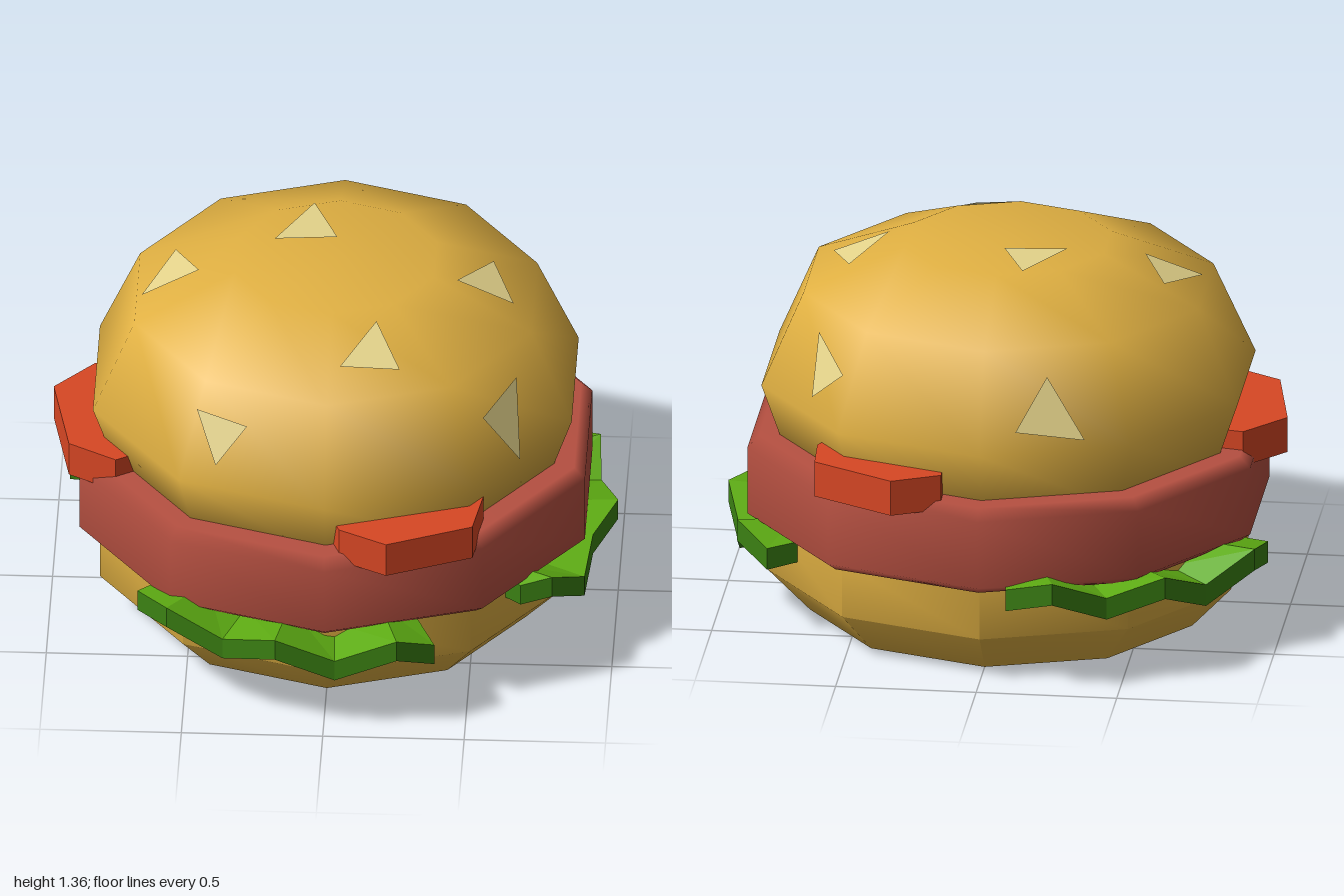
import * as THREE from 'three';
import { toCreasedNormals } from 'three/addons/utils/BufferGeometryUtils.js';

const CZ = -0.03; // z of the stack's axis
const SIDES = 10;

const makeMaterial = (name, color, extra = {}) => {
  const m = new THREE.MeshStandardMaterial({ color, ...extra });
  m.name = name;
  return m;
};

export function createModel() {
  const bun = makeMaterial('bun', 0xe0b042);
  const meat = makeMaterial('meat', 0xb65041);
  const tomato = makeMaterial('tomato', 0xd84724);
  const leafTop = makeMaterial('leafTop', 0x5dab13);
  const leafEdge = makeMaterial('leafEdge', 0x3b8113);
  const seed = makeMaterial('seed', 0xe4d38a, { side: THREE.DoubleSide });

  const model = new THREE.Group();
  model.name = 'burger';
  const add = (name, geometry, material, z = 0) => {
    const mesh = new THREE.Mesh(geometry, material);
    mesh.name = name;
    mesh.position.z = z;
    model.add(mesh);
  };
  const lathe = (profile) =>
    new THREE.LatheGeometry(profile.map(([r, y]) => new THREE.Vector2(r, y)), SIDES);

  // Buns and patty: ten-sided turned shapes
  const dome = [[0.89, 0.86], [0.738, 1.2], [0.37, 1.35], [0, 1.35]];
  add('bottomBun', toCreasedNormals(
    lathe([[0, 0], [0.715, 0], [0.865, 0.16], [0.865, 0.36], [0, 0.36]]), 0.8), bun, CZ);
  add('patty', lathe([[0, 0.35], [0.90, 0.35], [0.94, 0.38], [0.94, 0.63], [0.90, 0.67], [0, 0.67]]), meat, CZ);
  add('topBun', lathe([[0, 0.6], [0.80, 0.6], ...dome]), bun, CZ);

  // Tomato slices poking out between patty and top bun: [x, z] corners
  const slices = [
    [[0.14, -0.87], [0.31, -0.95], [0.60, -0.79], [0.61, -0.62], [0.5, -0.4], [0.15, -0.55]],
    [[0.55, 0.60], [0.52, 0.80], [0.22, 0.93], [0.05, 0.84], [-0.02, 0.66], [0.4, 0.45]],
    [[-0.76, 0.38], [-0.93, 0.28], [-1.0, -0.09], [-0.86, -0.25], [-0.6, -0.2], [-0.55, 0.25]],
  ];
  slices.forEach((corners, i) => {
    const shape = new THREE.Shape(corners.map(([x, z]) => new THREE.Vector2(x, -z)));
    const g = new THREE.ExtrudeGeometry(shape, { depth: 0.13, bevelEnabled: false });
    g.rotateX(-Math.PI / 2);
    g.translate(0, i === 2 ? 0.61 : 0.635, 0);
    add('tomatoSlice' + (i + 1), g, tomato);
  });

  // Wavy lettuce strips: [x, z, top y] along the outer edge
  const strips = [
    [[-0.67, 0.67, 0.38], [-0.56, 0.84, 0.42], [-0.36, 0.88, 0.32], [-0.17, 0.99, 0.39],
      [0.04, 0.96, 0.29], [0.26, 0.98, 0.39], [0.39, 0.90, 0.33]],
    [[0.68, 0.56, 0.37], [0.79, 0.55, 0.40], [0.90, 0.43, 0.33], [0.92, 0.20, 0.36],
      [1.0, 0.0, 0.38], [0.93, -0.25, 0.30], [0.92, -0.41, 0.39], [0.80, -0.53, 0.33]],
    [[-0.10, -0.97, 0.38], [-0.27, -1.0, 0.42], [-0.45, -0.88, 0.33], [-0.65, -0.81, 0.39],
      [-0.77, -0.60, 0.29], [-0.93, -0.49, 0.39], [-0.95, -0.25, 0.33]],
  ];
  strips.forEach((points, i) => add('lettuce' + (i + 1), leafStrip(points), [leafTop, leafEdge]));

  // Sesame seeds: thin triangles resting on the dome, given as x, z pairs
  const seeds = [
    [-0.09, -0.37, -0.22, -0.13, 0.0, -0.15],
    [-0.57, -0.19, -0.68, 0.04, -0.48, 0.0],
    [0.55, -0.15, 0.43, 0.06, 0.63, 0.07],
    [0.16, 0.35, 0.04, 0.55, 0.25, 0.53],
    [-0.12, -0.85, -0.36, -0.79, -0.22, -0.74],
    [0.51, -0.64, 0.62, -0.43, 0.63, -0.56],
    [-0.46, 0.60, -0.39, 0.70, -0.28, 0.67],
    [0.65, 0.34, 0.54, 0.53, 0.67, 0.50],
  ];
  seeds.forEach((s, i) => {
    const corners = [0, 2, 4].map((k) => new THREE.Vector3(s[k], domeHeight(dome, s[k], s[k + 1]), s[k + 1]));
    const tri = new THREE.Triangle(...corners);
    const normal = tri.getNormal(new THREE.Vector3());
    if (normal.y < 0) {
      corners.reverse();
      normal.negate();
    }
    corners.forEach((c) => c.addScaledVector(normal, 0.008));
    const g = new THREE.BufferGeometry().setFromPoints(corners);
    g.computeVertexNormals();
    add('seed' + (i + 1), g, seed);
  });
  return model;
}

// Height of the ten-sided dome above a point
function domeHeight(profile, x, z) {
  const step = (2 * Math.PI) / SIDES;
  const dz = z - CZ;
  const angle = Math.atan2(x, dz) + 2 * Math.PI;
  const r = Math.hypot(x, dz) * Math.cos((angle % step) - step / 2) / Math.cos(step / 2);
  for (let i = 0; i < profile.length - 1; i++) {
    const [r0, y0] = profile[i], [r1, y1] = profile[i + 1];
    if (r >= r1) return y0 + (y1 - y0) * Math.max(0, (r0 - r) / (r0 - r1));
  }
  return profile[profile.length - 1][1];
}

// Flat-shaded strip with a bright top (group 0) and darker edges and underside (group 1)
function leafStrip(points) {
  const rings = points.map(([x, z, y]) => {
    const k = 0.78 / Math.hypot(x, z - CZ);
    const ix = x * k, iz = CZ + (z - CZ) * k, iy = 0.35 + (y - 0.35) * 0.6;
    return { it: [ix, iy, iz], ib: [ix, iy - 0.075, iz], ot: [x, y, z], ob: [x, y - 0.08, z] };
  });
  const top = [], rest = [];
  const quad = (list, a, b, c, d) => list.push(...a, ...b, ...c, ...a, ...c, ...d);
  for (let i = 0; i < rings.length - 1; i++) {
    const p = rings[i], q = rings[i + 1];
    quad(top, p.it, p.ot, q.ot, q.it);
    quad(rest, p.ot, p.ob, q.ob, q.ot);
    quad(rest, p.ib, q.ib, q.ob, p.ob);
  }
  const s = rings[0], e = rings[rings.length - 1];
  quad(rest, s.it, s.ib, s.ob, s.ot);
  quad(rest, e.ot, e.ob, e.ib, e.it);
  const g = new THREE.BufferGeometry();
  g.setAttribute('position', new THREE.Float32BufferAttribute([...top, ...rest], 3));
  g.addGroup(0, top.length / 3, 0);
  g.addGroup(top.length / 3, rest.length / 3, 1);
  g.computeVertexNormals();
  return g;
}
